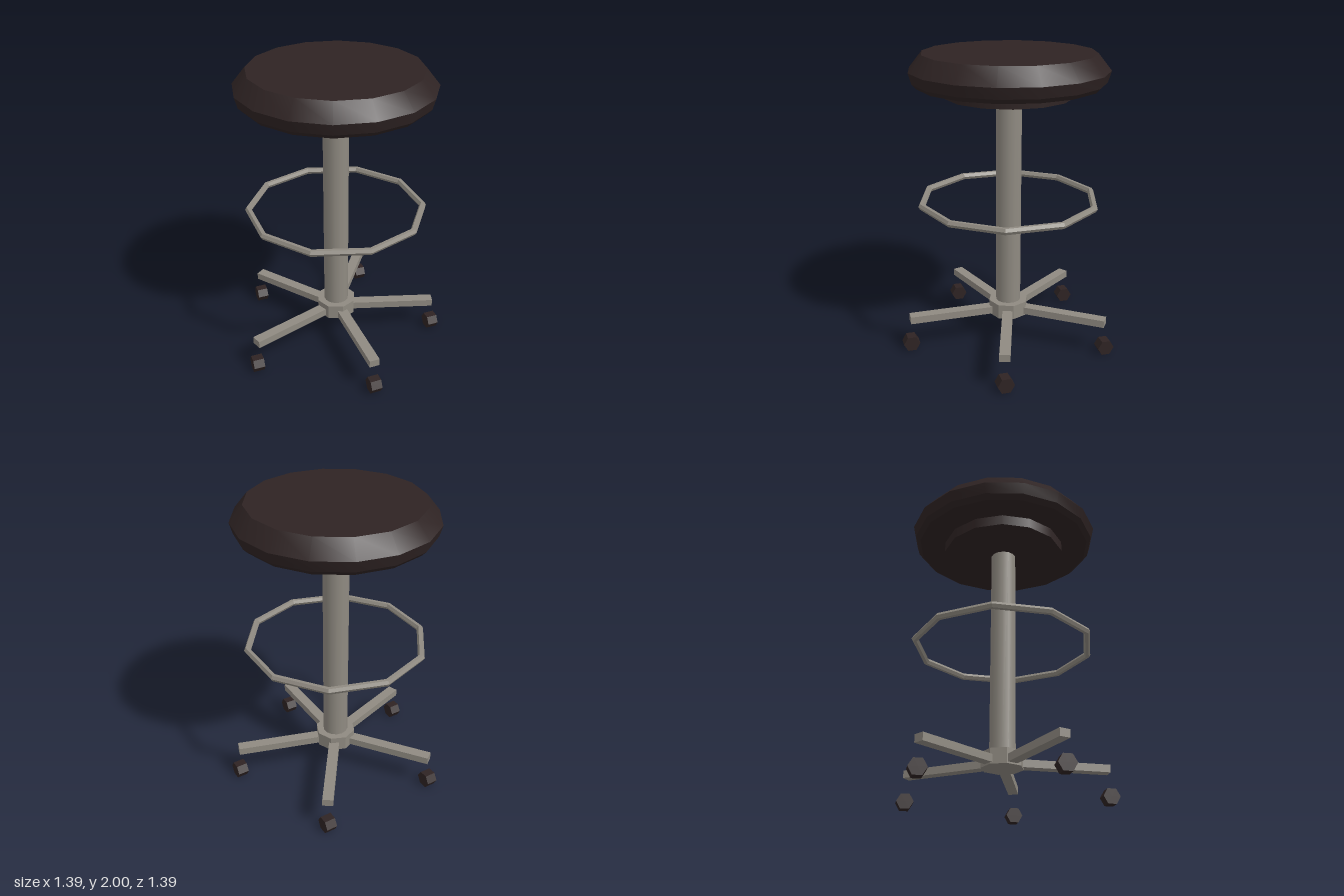
import * as THREE from 'three';
import { toCreasedNormals } from 'three/addons/utils/BufferGeometryUtils.js';

export function createModel() {
  const stool = new THREE.Group();
  stool.name = 'stool';
  const axisZ = -0.05; // the post stands slightly behind the centre

  const padding = new THREE.MeshStandardMaterial({ color: 0x2e2323 });
  padding.name = 'darkPadding';
  const metal = new THREE.MeshStandardMaterial({ color: 0x8f8a81 });
  metal.name = 'greyMetal';

  const add = (name, geometry, material, x, y, z) => {
    const mesh = new THREE.Mesh(geometry, material);
    mesh.name = name;
    mesh.position.set(x, y, z);
    stool.add(mesh);
    return mesh;
  };
  const creased = (geometry) => toCreasedNormals(geometry, 0.41);
  // smooth around the side, sharp at the caps
  const column = (name, radius, y0, y1, sides, material) =>
    add(name, new THREE.CylinderGeometry(radius, radius, y1 - y0, sides), material, 0, (y0 + y1) / 2, axisZ);

  // seat cushion
  const profile = [[0, 1.79], [0.59, 1.79], [0.62, 1.82], [0.64, 1.89], [0.555, 1.995], [0, 2]]
    .map(([r, y]) => new THREE.Vector2(r, y));
  add('seatCushion', creased(new THREE.LatheGeometry(profile, 16)), padding, 0, 0, axisZ);
  column('seatBase', 0.415, 1.72, 1.79, 14, padding);

  // central post and hub
  column('post', 0.085, 0.25, 1.73, 14, metal);
  add('hub', creased(new THREE.CylinderGeometry(0.137, 0.137, 0.1, 8)), metal, 0, 0.24, axisZ);

  // ten-sided foot ring
  const ring = new THREE.TorusGeometry(0.585, 0.023, 6, 10);
  ring.rotateZ(Math.PI / 2).rotateX(Math.PI / 2);
  add('footRing', creased(ring), metal, 0, 1.025, axisZ);

  // five arms, each with a caster below its tip
  const reach = 0.693;
  const armGeometry = new THREE.BoxGeometry(0.07, 0.05, reach).translate(0, 0, reach / 2);
  const casterGeometry = creased(
    new THREE.CylinderGeometry(0.056, 0.056, 0.075, 6).rotateZ(Math.PI / 2));
  for (let i = 0; i < 5; i++) {
    const angle = (i / 5) * Math.PI * 2;
    add('arm', armGeometry, metal, 0, 0.225, axisZ).rotation.y = angle;
    add('caster', casterGeometry, padding,
      Math.sin(angle) * reach, 0.0485, axisZ + Math.cos(angle) * reach);
  }
  return stool;
}
